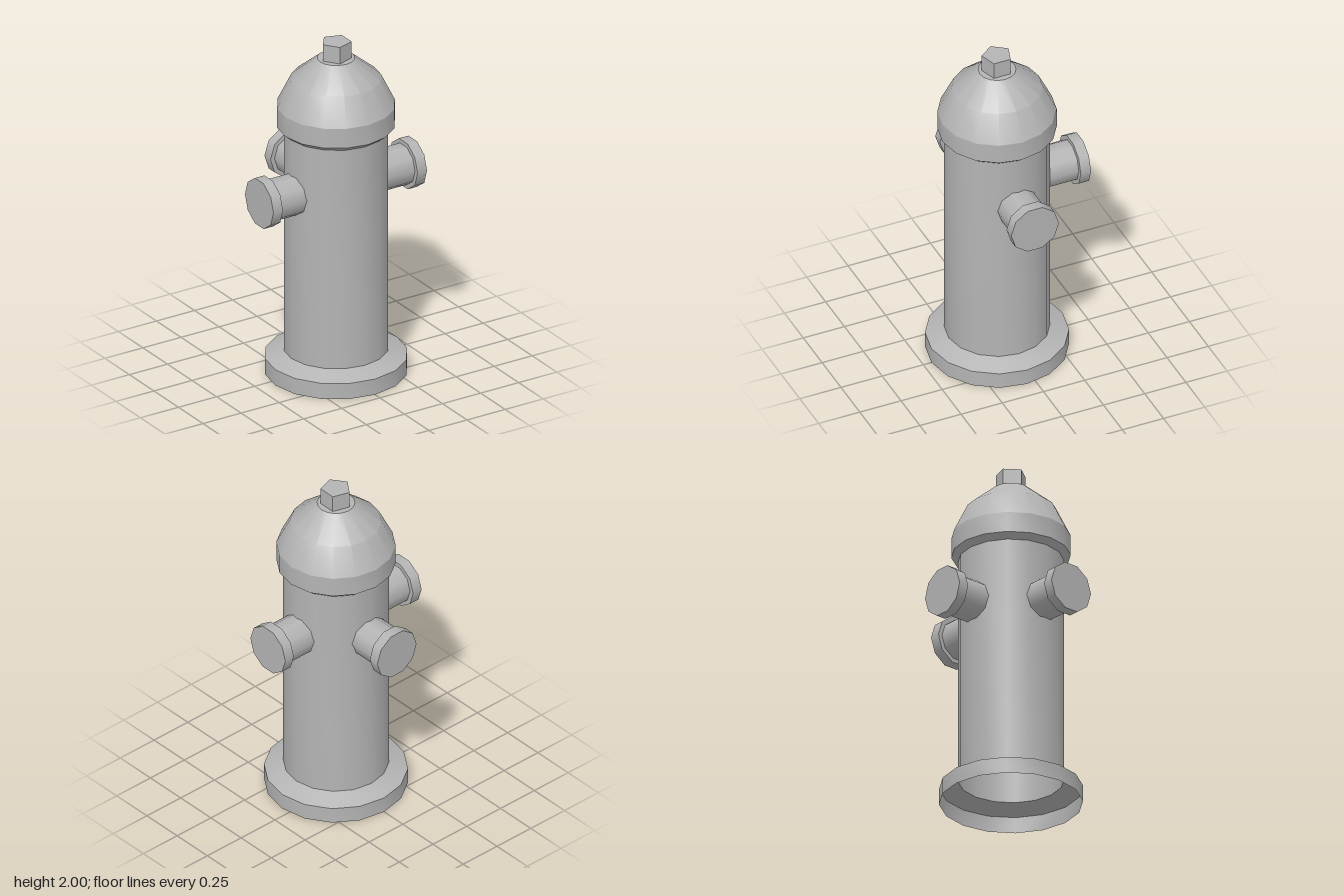
import * as THREE from 'three';
import { toCreasedNormals } from 'three/addons/utils/BufferGeometryUtils.js';

const AXIS_Z = 0.053; // the barrel sits a little forward of centre
const OUTLET_Y = 1.138;

export function createModel() {
  const model = new THREE.Group();
  model.name = 'hydrant';
  const castIron = new THREE.MeshStandardMaterial({ color: 0xb4b4b4, side: THREE.DoubleSide });
  castIron.name = 'cast iron grey';

  const add = (parent, name, geometry) => {
    const mesh = new THREE.Mesh(geometry, castIron);
    mesh.name = name;
    parent.add(mesh);
    return mesh;
  };

  // 16-sided turned part, smooth around and sharp between its rings
  const turned = (name, profile) => {
    const points = profile.map(([r, y]) => new THREE.Vector2(r, y));
    const geometry = toCreasedNormals(new THREE.LatheGeometry(points, 16), 0.44);
    add(model, name, geometry).position.z = AXIS_Z;
  };

  // Hollow base flange, open barrel and domed bonnet
  turned('baseFlange', [[0.398, 0], [0.398, 0.095], [0.293, 0.137]]);
  turned('barrel', [[0.293, 0.137], [0.293, 1.47]]);
  turned('bonnet', [[0.293, 1.47], [0.33, 1.5], [0.33, 1.618], [0.252, 1.778], [0.105, 1.9], [0, 1.9]]);

  // Five-sided operating nut
  const nut = new THREE.CylinderGeometry(0.086, 0.086, 0.1, 5).toNonIndexed();
  nut.computeVertexNormals();
  nut.rotateY(-Math.PI / 2);
  add(model, 'operatingNut', nut).position.set(0, 1.95, AXIS_Z);

  // Outlets to the left, back and right, each a pipe with a wider cap
  const alongX = (r, from, to) => new THREE.CylinderGeometry(r, r, to - from, 10)
    .rotateZ(-Math.PI / 2).translate((from + to) / 2, 0, 0);
  ['leftOutlet', 'backOutlet', 'rightOutlet'].forEach((name, i) => {
    const outlet = new THREE.Group();
    outlet.name = name;
    add(outlet, 'outletPipe', alongX(0.119, 0.26, 0.45));
    add(outlet, 'outletCap', alongX(0.145, 0.442, 0.504));
    outlet.position.set(0, OUTLET_Y, AXIS_Z);
    outlet.rotation.y = i * Math.PI / 2;
    model.add(outlet);
  });

  return model;
}
